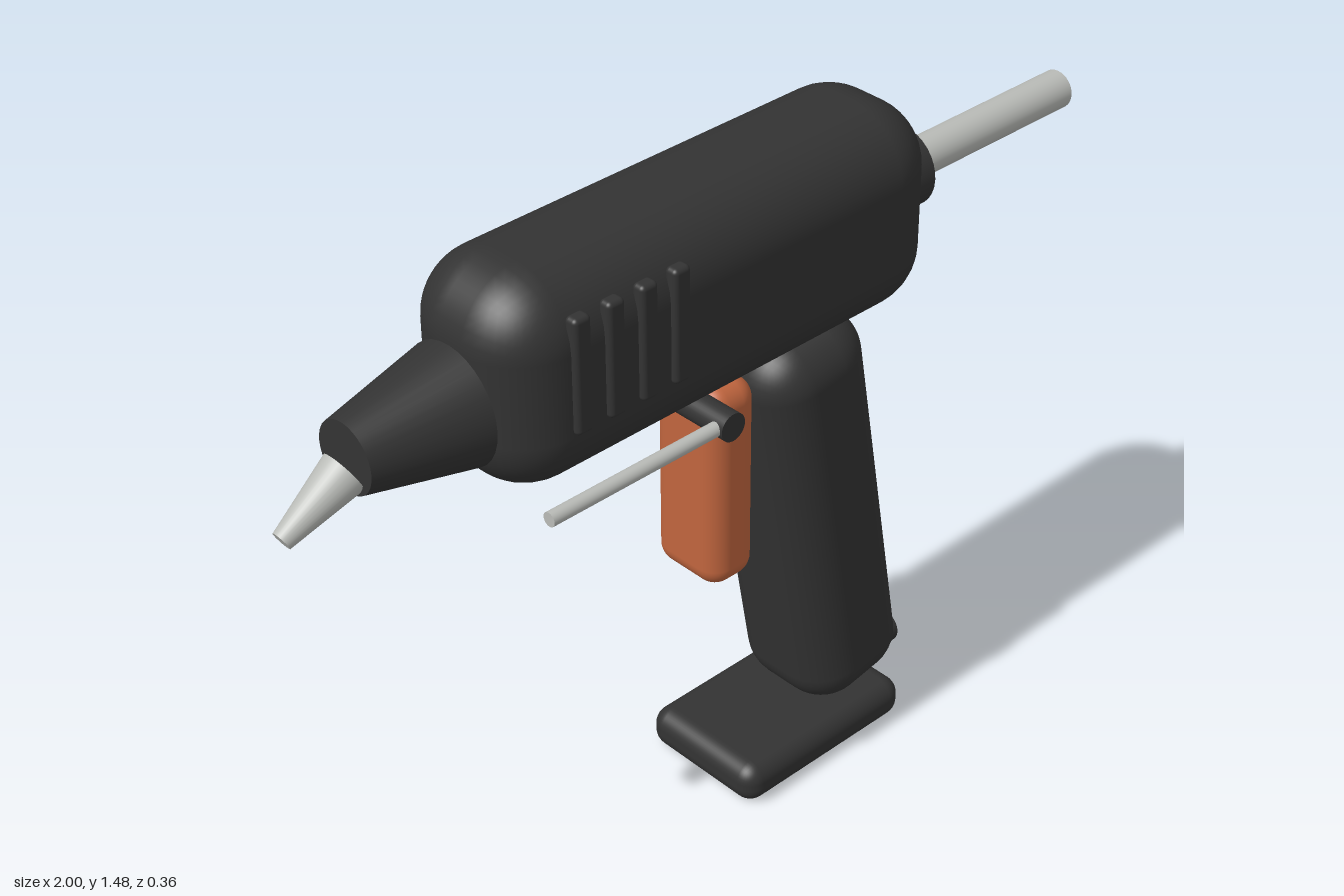
import * as THREE from 'three';
import { RoundedBoxGeometry } from 'three/addons/geometries/RoundedBoxGeometry.js';

const material = (name, color) => {
  const m = new THREE.MeshStandardMaterial({ color });
  m.name = name;
  return m;
};

export function createModel() {
  const model = new THREE.Group();
  model.name = 'glueGun';
  const black = material('black plastic', 0x333333);
  const orange = material('orange trigger', 0xc0653e);
  const grey = material('pale grey', 0xb9bbb7);

  const add = (name, geometry, mat) => {
    const mesh = new THREE.Mesh(geometry, mat);
    mesh.name = name;
    model.add(mesh);
    return mesh;
  };

  // Rounded block given by centre, size and corner radius
  const block = (name, mat, centre, size, radius) => {
    const mesh = add(name, new RoundedBoxGeometry(...size, 5, radius), mat);
    mesh.position.set(...centre);
    return mesh;
  };

  // Round bar or cone running from one point to another
  const bar = (name, mat, from, to, r0, r1 = r0) => {
    const a = new THREE.Vector3(...from);
    const b = new THREE.Vector3(...to);
    const dir = b.clone().sub(a);
    const mesh = add(name, new THREE.CylinderGeometry(r1, r0, dir.length(), 32), mat);
    mesh.position.copy(a).add(b).multiplyScalar(0.5);
    mesh.quaternion.setFromUnitVectors(new THREE.Vector3(0, 1, 0), dir.normalize());
    return mesh;
  };

  // Barrel housing, slanted grip, trigger and foot
  block('body', black, [-0.06, 1.26, 0], [1.1, 0.44, 0.33], 0.135);
  const handle = block('handle', black, [0.275, 0.58, 0], [0.28, 0.975, 0.28], 0.1);
  handle.rotation.z = THREE.MathUtils.degToRad(10);
  block('trigger', orange, [0, 0.788, 0], [0.124, 0.465, 0.18], 0.045);
  block('base', black, [0.213, 0.047, 0], [0.466, 0.094, 0.31], 0.04);

  // Cooling ribs on the front side only
  for (let i = 0; i < 4; i++) {
    block('vent', black, [-0.455 + i * 0.078, 1.3, 0.162], [0.04, 0.24, 0.03], 0.01);
  }

  // Nozzle and bent metal tip
  bar('nozzle', black, [-0.61, 1.23, 0], [-0.845, 1.23, 0], 0.122, 0.072);
  bar('nozzleTip', grey, [-0.85, 1.203, 0], [-0.99, 1.128, 0], 0.046, 0.02);

  // Rear collar with the glue stick
  bar('collar', black, [0.45, 1.26, 0], [0.54, 1.26, 0], 0.084);
  bar('glueStick', grey, [0.46, 1.26, 0], [1, 1.26, 0], 0.041);

  // Cord outlet at the heel of the grip
  bar('cordOutlet', black, [0.38, 0.097, 0], [0.55, 0.097, 0], 0.052, 0.038);

  // Folding wire stand
  bar('standPivot', black, [-0.1, 1.026, -0.18], [-0.1, 1.026, 0.18], 0.03);
  for (const side of [-1, 1]) {
    bar('standRod', grey, [-0.1, 1.026, side * 0.16], [-0.535, 1.026, side * 0.16], 0.015);
  }

  return model;
}
